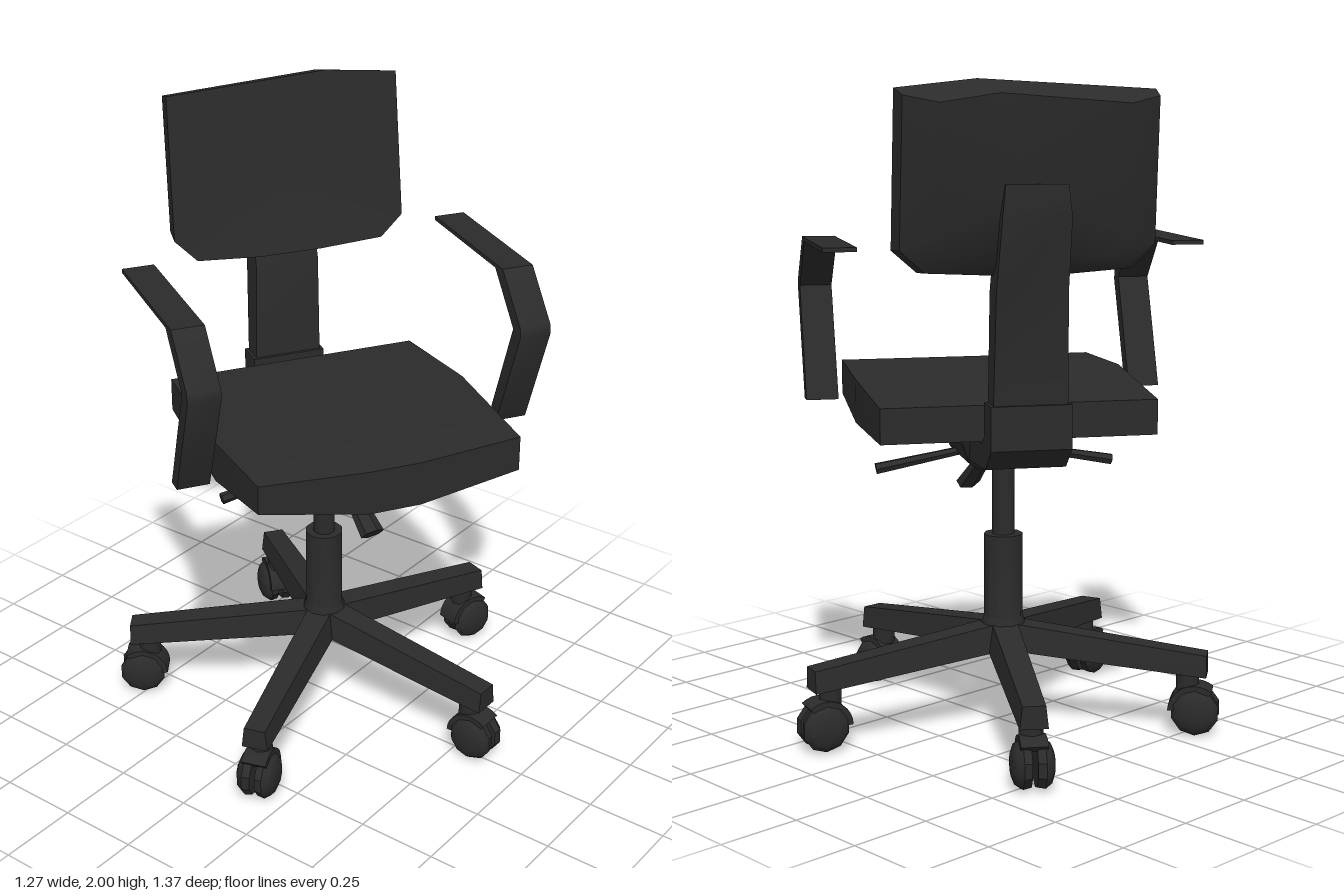
import * as THREE from 'three';
import { toCreasedNormals } from 'three/addons/utils/BufferGeometryUtils.js';

const plastic = new THREE.MeshStandardMaterial({ color: 0x2b2b2b });
plastic.name = 'charcoal plastic';

function part(name, geometry, parent, crease = 0.6) {
  const mesh = new THREE.Mesh(toCreasedNormals(geometry, crease), plastic);
  mesh.name = name;
  parent.add(mesh);
  return mesh;
}

// Skin a list of equal-length rings and cap both ends; faces always point outward.
function loft(rings, capStart, capEnd) {
  const n = rings[0].length, pos = rings.flat(2), idx = [];
  const mid = (ring) => [0, 1, 2].map((k) => ring.reduce((s, p) => s + p[k], 0) / n);
  const last = rings.length - 1, a = rings.length * n, b = a + 1;
  pos.push(...(capStart || mid(rings[0])), ...(capEnd || mid(rings[last])));
  for (let i = 0; i < n; i++) {
    const j = (i + 1) % n;
    for (let r = 0; r < last; r++) {
      const p = r * n;
      idx.push(p + i, p + j, p + n + j, p + i, p + n + j, p + n + i);
    }
    idx.push(a, j, i, b, last * n + i, last * n + j);
  }
  const v = (i) => new THREE.Vector3(...pos.slice(i * 3, i * 3 + 3));
  let volume = 0;
  for (let i = 0; i < idx.length; i += 3) volume += v(idx[i]).dot(v(idx[i + 1]).cross(v(idx[i + 2])));
  if (volume < 0) idx.reverse();
  const g = new THREE.BufferGeometry();
  g.setAttribute('position', new THREE.Float32BufferAttribute(pos, 3));
  g.setIndex(idx);
  return g;
}

// Rectangle across the x axis (width along x) at a given centre, in the y/z plane tilt.
const slice = (hw, y0, z0, y1, z1) => [[-hw, y0, z0], [hw, y0, z0], [hw, y1, z1], [-hw, y1, z1]];

function rod(name, from, to, r0, r1, parent, flat = 1) {
  const a = new THREE.Vector3(...from), d = new THREE.Vector3(...to).sub(a);
  const mesh = part(name, new THREE.CylinderGeometry(r1, r0, d.length(), 6), parent, 0.9);
  mesh.scale.z = flat;
  mesh.position.copy(a).addScaledVector(d, 0.5);
  mesh.quaternion.setFromUnitVectors(new THREE.Vector3(0, 1, 0), d.normalize());
}

function addSeat(chair) {
  // x, z, bottom y, top y around the cushion
  const edge = [
    [-0.41, -0.33, 0.962, 1.068], [0.42, -0.33, 0.962, 1.068], [0.435, 0.05, 0.965, 1.1],
    [0.415, 0.5, 0.99, 1.1], [0.08, 0.535, 0.957, 1.095], [-0.08, 0.535, 0.957, 1.095],
    [-0.415, 0.51, 1.01, 1.1], [-0.44, 0.2, 0.97, 1.1],
  ];
  const ring = (k) => edge.map((p) => [p[0], p[k], p[1]]);
  part('seat', loft([ring(2), ring(3)], [0, 0.955, 0.08], [0, 1.105, 0.08]), chair);
}

function addBackrest(chair) {
  const outline = [
    [-0.38, 1.53], [-0.31, 1.46], [-0.1, 1.445], [0.1, 1.445], [0.31, 1.455], [0.385, 1.52],
    [0.385, 1.974], [0.15, 2.0], [-0.37, 1.972],
  ];
  // Front face leans back; the rear face is inset and bulges
  const ring = (inset, depth, drop) => outline.map(([x, y]) => [
    x * (1 - inset), y > 1.7 ? y - drop : y + inset * 0.15, -0.33 - (y - 1.5) * 0.15 - depth]);
  part('backrest', loft([ring(0, 0, 0), ring(0.03, 0.08, 0.02), ring(0.28, 0.12, 0.04)],
    [0, 1.72, -0.368], [0.02, 1.7, -0.5]), chair);

  // Upright, leaning into the rear of the backrest
  part('backPost', loft([
    slice(0.11, 0.93, -0.35, 0.95, -0.43), slice(0.11, 1.08, -0.36, 1.08, -0.435),
    slice(0.105, 1.4, -0.36, 1.4, -0.45), slice(0.1, 1.62, -0.42, 1.62, -0.51),
    slice(0.09, 1.71, -0.46, 1.71, -0.505),
  ]), chair);
  // Bracket bending under the seat
  part('backBracket', loft([
    slice(0.12, 1.08, -0.35, 1.08, -0.445), slice(0.12, 0.98, -0.35, 0.95, -0.445),
    slice(0.12, 0.955, -0.33, 0.885, -0.37), slice(0.12, 0.955, -0.08, 0.87, -0.08),
  ]), chair);
}

function addMechanism(chair) {
  const rect = (hx, z0, z1, y) => [[-hx, y, z0], [hx, y, z0], [hx, y, z1], [-hx, y, z1]];
  part('tiltMechanism', loft([
    rect(0.08, -0.09, 0.09, 0.83), rect(0.12, -0.13, 0.16, 0.86), rect(0.16, -0.17, 0.24, 0.965),
  ]), chair);
  for (const s of [-1, 1]) {
    rod('sideLever', [s * 0.08, 0.875, 0.04], [s * 0.375, 0.82, 0.05], 0.013, 0.018, chair);
  }
  rod('heightLever', [0, 0.87, 0.1], [0.04, 0.725, 0.27], 0.025, 0.045, chair, 0.6);
}

function addArm(chair, x, z) {
  // Thin pad, rounded knee and strut drawn from the side
  const shape = new THREE.Shape([
    [-0.19, 1.525], [0.3, 1.525], [0.43, 1.385], [0.435, 1.355], [0.3, 1.02], [0.25, 1.02],
    [0.385, 1.365], [0.25, 1.512], [-0.19, 1.512],
  ].map((p) => new THREE.Vector2(...p)));
  const g = new THREE.ExtrudeGeometry(shape, { depth: 0.1, bevelEnabled: false });
  g.translate(0, 0, -0.05).rotateY(-Math.PI / 2);
  part('armrest', g, chair).position.set(x, 0, z);
}

function addCaster(leg) {
  const caster = new THREE.Group();
  caster.name = 'caster';
  caster.position.set(0.605, 0.075, 0);
  leg.add(caster);
  const profile = [[0, -0.024], [0.07, -0.024], [0.075, 0], [0.06, 0.02], [0.035, 0.03], [0, 0.03]];
  for (const s of [-1, 1]) {
    const g = new THREE.LatheGeometry(profile.map((p) => new THREE.Vector2(...p)), 10);
    const wheel = part('casterWheel', g.rotateX(Math.PI / 2), caster);
    wheel.position.z = s * 0.032;
    if (s < 0) wheel.rotation.y = Math.PI;
  }
  // Hood over the inner half of the wheels
  const hood = new THREE.Shape();
  hood.absarc(0, 0, 0.084, 0.9, 3.1, false);
  hood.absarc(0, 0, 0.06, 3.1, 0.9, true);
  const g = new THREE.ExtrudeGeometry(hood, { depth: 0.08, bevelEnabled: false, curveSegments: 5 });
  part('casterHood', g.translate(0, 0, -0.04), caster);
  const stem = part('casterStem', new THREE.CylinderGeometry(0.036, 0.036, 0.06, 8), caster, 0.9);
  stem.position.set(-0.025, 0.095, 0);
}

function addBase(base) {
  const section = (x, y0, y1, w0, w1) => [[x, y0, -w0], [x, y0, w0], [x, y1, w1], [x, y1, -w1]];
  for (let i = 0; i < 5; i++) {
    const leg = new THREE.Group();
    leg.name = 'baseLeg';
    leg.rotation.y = -i * Math.PI * 2 / 5;
    base.add(leg);
    part('legBeam', loft([
      section(0, 0.25, 0.335, 0.055, 0.04), section(0.64, 0.187, 0.255, 0.042, 0.034),
    ]), leg);
    addCaster(leg);
  }
  const column = [[0, 0.24], [0.06, 0.24], [0.072, 0.32], [0.061, 0.35], [0.061, 0.61],
    [0.035, 0.61], [0.035, 0.86], [0, 0.86]];
  part('gasColumn', new THREE.LatheGeometry(column.map((p) => new THREE.Vector2(...p)), 10), base, 0.7);
}

export function createModel() {
  const model = new THREE.Group();
  model.name = 'officeChair';

  const base = new THREE.Group();
  base.name = 'base';
  base.position.set(-0.035, 0, -0.01);
  addBase(base);

  // Swivelled upper half
  const chair = new THREE.Group();
  chair.name = 'swivelSeat';
  chair.position.set(-0.027, 0, -0.023);
  chair.rotation.y = 1.0245;
  addSeat(chair);
  addBackrest(chair);
  addMechanism(chair);
  addArm(chair, -0.54, 0);
  addArm(chair, 0.52, -0.07);

  model.add(base, chair);
  return model;
}
